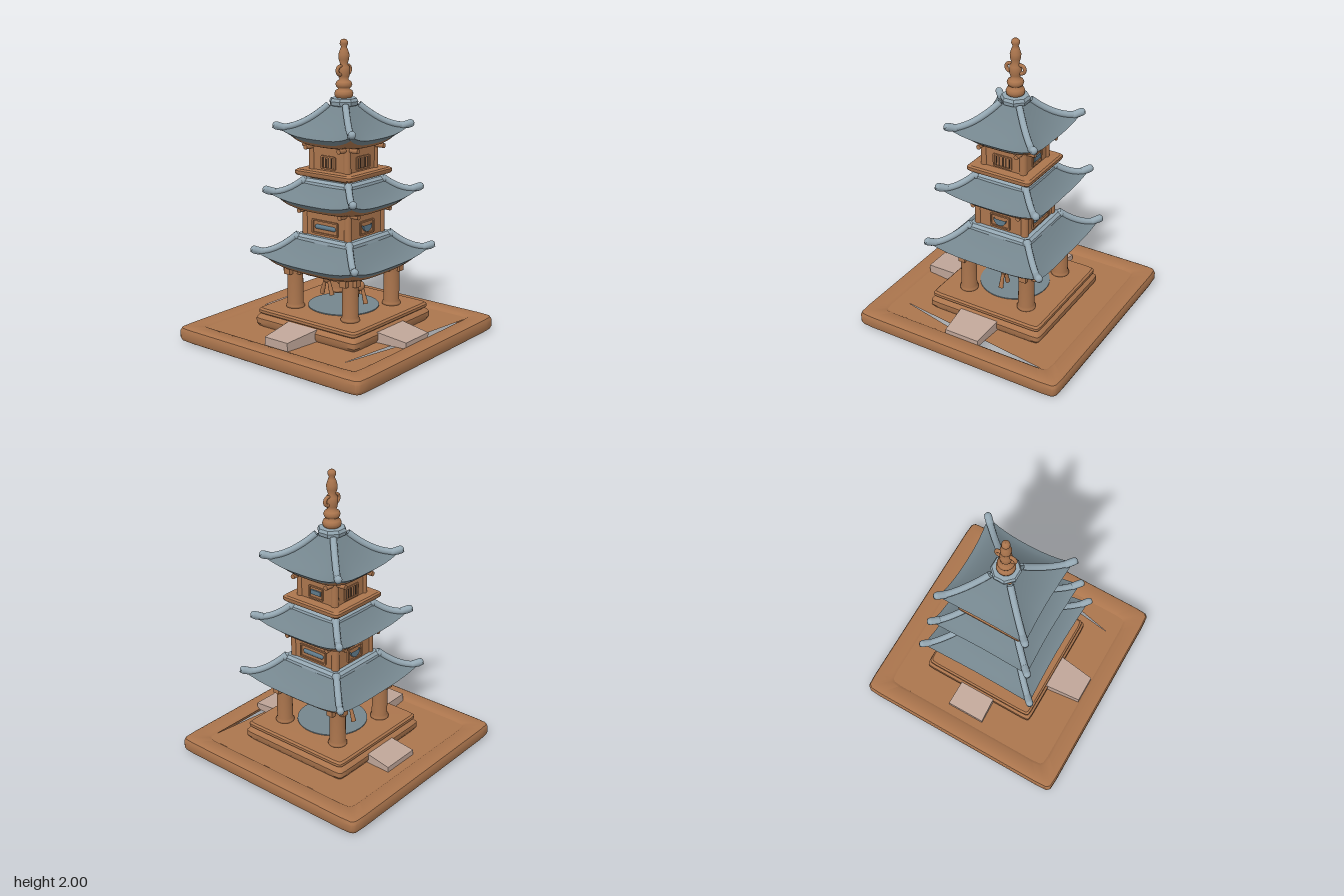
import * as THREE from 'three';
import { toCreasedNormals } from 'three/addons/utils/BufferGeometryUtils.js';

const paint = (name, color) => new THREE.MeshStandardMaterial({ name, color, side: THREE.DoubleSide });

// Skin of rounded-square rings; each ring is [half, y, cornerLift, midPull]
function squareLoft(rings, r = 0.01, n = 12) {
  const pos = [], idx = [], count = n * 4;
  for (const [half, y, lift = 0, pull = 0] of rings) {
    for (let k = 0; k < 4; k++) for (let i = 0; i < n; i++) {
      const t = Math.sin((i / n * 2 - 1) * Math.PI / 2);
      const rad = Math.min(r, half * 0.9), c = half - rad;
      let x = half, z = t * half;
      const ix = Math.min(x, c), iz = Math.max(-c, Math.min(c, z));
      const d = Math.hypot(x - ix, z - iz) || 1;
      x = ix + (x - ix) / d * rad - pull * (1 - t * t);
      z = iz + (z - iz) / d * rad;
      for (let q = 0; q < k; q++) [x, z] = [-z, x];
      pos.push(x, y + lift * Math.abs(t) ** 3, z);
    }
  }
  for (let j = 0; j < rings.length - 1; j++) for (let i = 0; i < count; i++) {
    const a = j * count + i, b = j * count + (i + 1) % count;
    idx.push(a, a + count, b, b, a + count, b + count);
  }
  const g = new THREE.BufferGeometry();
  g.setAttribute('position', new THREE.Float32BufferAttribute(pos, 3));
  g.setIndex(idx);
  return toCreasedNormals(g, 0.6);
}

export function createModel() {
  const wood = paint('wood', 0xab754d), tile = paint('roofTile', 0x74858d);
  const ridge = paint('ridgeTile', 0x94a7b2), stone = paint('paleStone', 0xbfa598);
  const pane = paint('bluePane', 0x5f7b8c), dark = paint('darkGap', 0x4a3526);
  const model = new THREE.Group();
  const tower = new THREE.Group();
  tower.name = 'tower';
  tower.position.set(0.035, 0, 0.018);
  model.add(tower);
  const add = (parent, name, geo, mat, x = 0, y = 0, z = 0) => {
    const m = new THREE.Mesh(geo, mat);
    m.name = name;
    m.position.set(x, y, z);
    parent.add(m);
    return m;
  };
  const box = (w, h, d) => new THREE.BoxGeometry(w, h, d);
  const ball = r => new THREE.SphereGeometry(r, 16, 12);
  const v2 = a => a.map(([x, y]) => new THREE.Vector2(x, y));

  // Hollow ground frame with a cracked floor
  add(model, 'groundFrame', squareLoft([[0.63, 0.085], [0.7, 0.02], [0.71, 0], [0.74, 0], [0.757, 0.01],
    [0.765, 0.03], [0.765, 0.075], [0.757, 0.095], [0.74, 0.104], [0.65, 0.1], [0.63, 0.085]], 0.05), wood);
  const floor = new THREE.Shape(v2([[-0.64, -0.64], [0.64, -0.64], [0.64, 0.64], [-0.64, 0.64]]));
  floor.holes.push(new THREE.Path(v2([[-0.55, -0.485], [-0.13, -0.575], [0.13, -0.634], [0.61, -0.634]])));
  add(model, 'floor', new THREE.ShapeGeometry(floor).rotateX(-Math.PI / 2), wood, 0, 0.088, 0);

  // Sloping stone ramps, built pointing to +z: [inner half width, outer half width, length, inner y, outer y]
  const ramp = (name, wi, wo, len, yi, yo, x, z, turn) => {
    const g = box(1, 1, 1), p = g.attributes.position;
    for (let i = 0; i < p.count; i++) {
      const out = p.getZ(i) > 0;
      p.setXYZ(i, Math.sign(p.getX(i)) * (out ? wo : wi), p.getY(i) > 0 ? (out ? yo : yi) : 0.085, out ? len : 0);
    }
    const m = add(model, name, toCreasedNormals(g, 0.3), stone, x, 0, z);
    m.rotation.y = turn;
  };
  ramp('frontRamp', 0.145, 0.125, 0.25, 0.162, 0.13, 0, 0.4, 0);
  ramp('backRamp', 0.13, 0.137, 0.215, 0.16, 0.125, 0.037, -0.36, Math.PI);
  ramp('sideRamp', 0.125, 0.095, 0.27, 0.17, 0.145, -0.36, 0, -Math.PI / 2);

  // Stepped plinth with round inlay
  add(tower, 'plinth', squareLoft([[0.41, 0.088], [0.425, 0.11], [0.425, 0.145], [0.41, 0.165], [0.4, 0.172],
    [0.412, 0.182], [0.412, 0.2], [0.4, 0.212], [0.001, 0.214]], 0.03), wood);
  add(tower, 'floorInlay', new THREE.CylinderGeometry(0.24, 0.24, 0.006, 40), tile, 0, 0.216, 0);

  // Columns and bracket heads
  for (const sx of [-1, 1]) for (const sz of [-1, 1]) {
    add(tower, 'column', new THREE.LatheGeometry(v2([[0.001, 0.21], [0.063, 0.21], [0.063, 0.225], [0.054, 0.24],
      [0.053, 0.44], [0.06, 0.46], [0.06, 0.51]]), 24), wood, sx * 0.225, 0, sz * 0.235);
    add(tower, 'columnBracket', box(0.15, 0.05, 0.05), wood, sx * 0.235, 0.478, sz * 0.235);
    add(tower, 'columnBracket', box(0.05, 0.05, 0.15), wood, sx * 0.235, 0.478, sz * 0.235);
  }
  add(tower, 'lowerBeam', squareLoft([[0.001, 0.43], [0.18, 0.43], [0.215, 0.5], [0.25, 0.52]]), wood);

  // Hanging tassels
  for (const s of [-1, 1]) {
    const t = new THREE.Group();
    t.name = 'tassel';
    t.position.set(0, 0, s * 0.145);
    add(t, 'cord', new THREE.CylinderGeometry(0.008, 0.008, 0.08, 8), wood, 0, 0.41, 0);
    add(t, 'knot', ball(0.028), wood, 0, 0.372, 0).scale.y = 1.2;
    for (const e of [-1, 1]) {
      const m = add(t, 'strand', new THREE.CylinderGeometry(0.011, 0.017, 0.1, 10), wood, 0, 0.305, e * 0.03);
      m.rotation.x = -e * 0.28;
    }
    tower.add(t);
  }

  // Curved roofs: eave half, eave bottom y, top half, top y, wall half
  const roofs = [[0.42, 0.515, 0.215, 0.715, 0.2], [0.36, 0.92, 0.18, 1.09, 0.17], [0.31, 1.345, 0.07, 1.575, 0.14]];
  roofs.forEach(([E, yb, top, yt, wall], level) => {
    const roof = new THREE.Group();
    roof.name = ['lowerRoof', 'middleRoof', 'upperRoof'][level];
    tower.add(roof);
    const ye = yb + 0.035, lift = 0.055;
    const at = s => [E + (top - E) * s, ye + (yt - ye) * s ** 1.5, lift * (1 - s) ** 2, 0.02 * (1 - s)];
    const steps = [0, 0.12, 0.25, 0.4, 0.55, 0.7, 0.85, 1];
    add(roof, 'tiles', squareLoft([[E - 0.045, yb, lift, 0.02], ...steps.map(at)]), tile);
    add(roof, 'soffit', squareLoft([[wall, yb - 0.01], [E - 0.11, yb - 0.028, 0.02], [E - 0.08, yb - 0.022, 0.035, 0.01],
      [E - 0.045, yb, lift, 0.02]]), wood);
    // Corner ridges with upturned tips
    const pts = [...steps].reverse().map(s => at(s)).map(([h, y, l]) => new THREE.Vector3(h, y + l + 0.004, h));
    pts.push(new THREE.Vector3(E + 0.012, ye + lift + 0.016, E + 0.012));
    const tube = new THREE.TubeGeometry(new THREE.CatmullRomCurve3(pts), 24, 0.022, 10);
    for (let k = 0; k < 4; k++) {
      const corner = new THREE.Group();
      corner.name = 'cornerRidge';
      corner.rotation.y = k * Math.PI / 2;
      add(corner, 'ridgeTube', tube, ridge);
      const tip = new THREE.CapsuleGeometry(0.025, 0.05, 6, 12).rotateX(Math.PI / 2 - 0.3).rotateY(Math.PI / 4);
      add(corner, 'ridgeTip', tip, ridge, E - 0.015, ye + lift + 0.005, E - 0.015);
      if (level < 2) add(corner, 'ridgeKnob', ball(0.028), ridge, top + 0.005, yt - 0.012, top + 0.005);
      roof.add(corner);
    }
    if (level < 2) add(roof, 'topRidge', squareLoft([[top + 0.025, yt - 0.05], [top + 0.022, yt - 0.01],
      [top + 0.005, yt + 0.008], [top - 0.04, yt + 0.006]], 0.02), ridge);
  });

  // Storey walls, posts and balcony
  const storey = (name, half, y0, y1) => {
    add(tower, name, box(half * 2 - 0.02, y1 - y0, half * 2 - 0.02), wood, 0, (y0 + y1) / 2, 0);
    for (const sx of [-1, 1]) for (const sz of [-1, 1]) {
      add(tower, 'cornerPost', new THREE.CylinderGeometry(0.024, 0.026, y1 - y0, 14), wood,
        sx * (half - 0.024), (y0 + y1) / 2, sz * (half - 0.024));
      for (const along of [0, 1]) {
        const peg = new THREE.CylinderGeometry(0.016, 0.016, 0.1, 12).rotateX(Math.PI / 2);
        if (along) peg.rotateY(Math.PI / 2);
        add(tower, 'bracketPeg', peg, wood, sx * (half + (along ? 0.01 : -0.03)), y1 - 0.03, sz * (half + (along ? -0.03 : 0.01)));
      }
    }
  };
  storey('middleWall', 0.2, 0.7, 0.92);
  storey('upperWall', 0.168, 1.14, 1.34);
  add(tower, 'balcony', squareLoft([[0.14, 1.085], [0.19, 1.112], [0.225, 1.118], [0.233, 1.13], [0.233, 1.148],
    [0.222, 1.158], [0.001, 1.16]], 0.02), wood);

  // Wall openings on each face
  for (let k = 0; k < 4; k++) {
    const face = new THREE.Group();
    face.name = 'wallFace';
    face.rotation.y = k * Math.PI / 2;
    tower.add(face);
    const side = k % 2, w = side ? 0.21 : 0.14;
    const frame = (fw, fh, y, z) => {
      for (const s of [-1, 1]) {
        add(face, 'windowRail', box(fw, 0.01, 0.012), wood, 0, y + s * fh / 2, z);
        add(face, 'windowStile', box(0.01, fh, 0.012), wood, s * fw / 2, y, z);
      }
    };
    frame(w, 0.085, 0.785, 0.194);
    if (side) add(face, 'barPane', new THREE.CapsuleGeometry(0.016, 0.14, 4, 10).rotateZ(Math.PI / 2), pane, 0, 0.785, 0.188);
    else add(face, 'halfMoonPane', new THREE.CylinderGeometry(0.046, 0.046, 0.03, 24, 1, false, -Math.PI / 2, Math.PI)
      .rotateX(Math.PI / 2), pane, 0, 0.802, 0.188);
    frame(side ? 0.11 : 0.13, 0.08, 1.213, 0.16);
    if (k === 1) add(face, 'barPane', box(0.08, 0.03, 0.02), pane, 0, 1.215, 0.158);
    else for (let i = -2; i <= 2; i++) add(face, 'slatGap', box(0.01, 0.07, 0.006), dark, i * 0.024, 1.213, 0.158);
  }

  // Octagonal cap and finial
  add(tower, 'cap', toCreasedNormals(new THREE.LatheGeometry(v2([[0.07, 1.565], [0.092, 1.575], [0.098, 1.6],
    [0.088, 1.62], [0.001, 1.625]]), 8, Math.PI / 8), 0.6), ridge);
  const profile = [[0.04, 1.615], [0.058, 1.63], [0.062, 1.65], [0.055, 1.668], [0.035, 1.68], [0.048, 1.69], [0.055, 1.708],
    [0.048, 1.726], [0.028, 1.74], [0.036, 1.76], [0.04, 1.79], [0.038, 1.82], [0.024, 1.84], [0.034, 1.87],
    [0.036, 1.9], [0.025, 1.935], [0.018, 1.95], [0.027, 1.968], [0.026, 1.985], [0.014, 1.998], [0.001, 2]];
  add(tower, 'finial', new THREE.LatheGeometry(v2(profile), 24), wood);
  for (const s of [-1, 1]) add(tower, 'finialLoop', new THREE.TorusGeometry(0.027, 0.012, 10, 20), wood, s * 0.04, 1.8, 0);
  return model;
}
